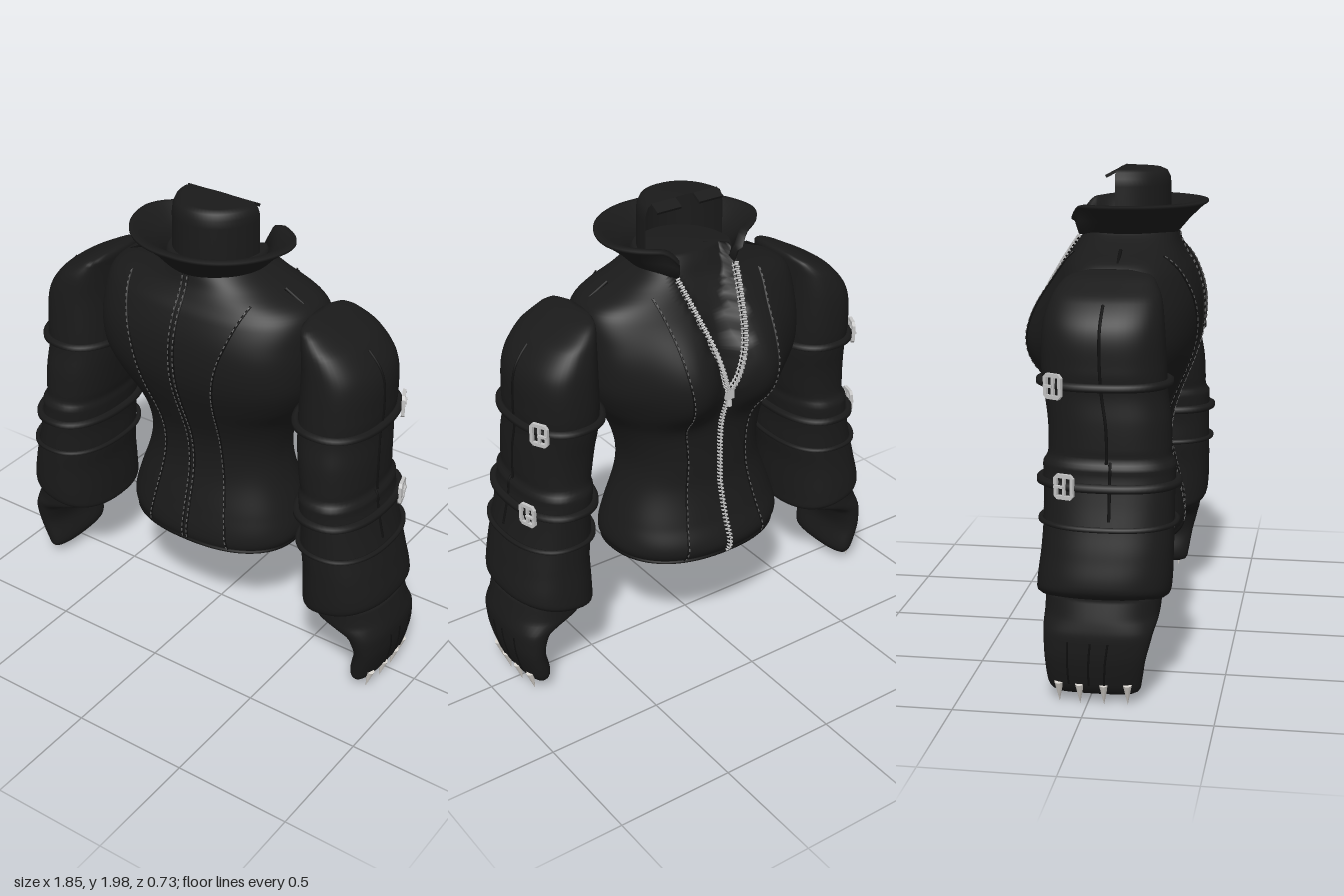
import * as THREE from 'three';
import { mergeGeometries } from 'three/addons/utils/BufferGeometryUtils.js';

const V = (x, y, z) => new THREE.Vector3(x, y, z);
const mat = (name, color, side = THREE.FrontSide) => {
  const m = new THREE.MeshStandardMaterial({ color, side });
  m.name = name;
  return m;
};

// Smooth lookup through rows of [y, a, b, ...]
function track(rows) {
  return (y) => {
    let i = 0;
    while (i < rows.length - 2 && y > rows[i + 1][0]) i++;
    const p = rows[i], q = rows[i + 1], o = rows[i - 1] || p, r = rows[i + 2] || q;
    const h = q[0] - p[0], t = THREE.MathUtils.clamp((y - p[0]) / h, 0, 1);
    return p.slice(1).map((_, k) => {
      k += 1;
      const m0 = ((q[k] - o[k]) / (q[0] - o[0])) * h, m1 = ((r[k] - p[k]) / (r[0] - p[0])) * h;
      const t2 = t * t, t3 = t2 * t;
      return (2 * t3 - 3 * t2 + 1) * p[k] + (t3 - 2 * t2 + t) * m0 + (3 * t2 - 2 * t3) * q[k] + (t3 - t2) * m1;
    });
  };
}

// Skin over closed rings, listed bottom to top, with fan caps
function loft(rings) {
  const n = rings[0].length, pos = [], idx = [];
  rings.forEach((r) => r.forEach((p) => pos.push(p.x, p.y, p.z)));
  for (let j = 0; j < rings.length - 1; j++)
    for (let i = 0; i < n; i++) {
      const a = j * n + i, b = j * n + ((i + 1) % n);
      idx.push(a, a + n, b, b, a + n, b + n);
    }
  [0, rings.length - 1].forEach((j) => {
    const c = rings[j].reduce((s, p) => s.add(p), V(0, 0, 0)).divideScalar(n), k = pos.length / 3;
    pos.push(c.x, c.y, c.z);
    for (let i = 0; i < n; i++) {
      const a = j * n + i, b = j * n + ((i + 1) % n);
      j ? idx.push(a, k, b) : idx.push(a, b, k);
    }
  });
  const g = new THREE.BufferGeometry();
  g.setAttribute('position', new THREE.Float32BufferAttribute(pos, 3));
  g.setIndex(idx);
  g.computeVertexNormals();
  return g;
}
const range = (n, f) => Array.from({ length: n }, (_, i) => f(i));
const spow = (v, e) => Math.sign(v) * Math.abs(v) ** e;
const tube = (pts, r, closed = false) =>
  new THREE.TubeGeometry(new THREE.CatmullRomCurve3(pts, closed), pts.length * 2, r, 6, closed);

// Small blocks laid along a path: stitches or zip teeth
function blocks(pts, count, w, l, d, zigzag = 0) {
  const curve = new THREE.CatmullRomCurve3(pts), o = new THREE.Object3D();
  o.up.set(0, 0, 1);
  return mergeGeometries(range(count, (i) => {
    const t = (i + 0.5) / count, p = curve.getPointAt(t);
    o.position.copy(p);
    o.lookAt(p.clone().add(curve.getTangentAt(t)));
    o.translateX((i % 2 ? 1 : -1) * zigzag);
    o.updateMatrix();
    return new THREE.BoxGeometry(w, d, l).applyMatrix4(o.matrix);
  }));
}

// Torso profile: y, half width, chest depth (-z), back depth (+z)
const torso = track([
  [0.43, 0.03, 0.03, 0.03], [0.445, 0.2, 0.17, 0.15], [0.47, 0.33, 0.27, 0.235], [0.5, 0.385, 0.31, 0.265],
  [0.55, 0.403, 0.325, 0.27], [0.65, 0.38, 0.29, 0.25], [0.8, 0.33, 0.25, 0.215], [0.9, 0.315, 0.245, 0.21],
  [1, 0.33, 0.245, 0.225], [1.1, 0.37, 0.25, 0.26], [1.2, 0.44, 0.265, 0.3], [1.3, 0.482, 0.285, 0.332],
  [1.4, 0.493, 0.28, 0.345], [1.5, 0.493, 0.26, 0.338], [1.6, 0.485, 0.22, 0.305], [1.65, 0.445, 0.195, 0.275],
  [1.7, 0.32, 0.17, 0.25], [1.75, 0.22, 0.15, 0.235], [1.79, 0.19, 0.13, 0.215]]);
const square = (y) => 2.3 + 0.6 * Math.exp(-(((y - 1.4) / 0.22) ** 2));
const vHalf = (y) => 0.145 * Math.max(0, (y - 1.25) / 0.49) ** 0.8;
function torsoZ(x, y, side, open = true) {
  const [w, f, b] = torso(y), n = square(y);
  const k = Math.max(0, 1 - Math.abs(x / w) ** n) ** (1 / n);
  if (side > 0) return b * k;
  const rise = y > 1.28 ? ((y - 1.28) / 0.25) ** 2.5 : ((1.28 - y) / 0.143) ** 3;
  const bust = 0.09 * Math.exp(-(((Math.abs(x) - 0.17) / 0.14) ** 2) - rise);
  const v = vHalf(y), dip = open && v > 0 ? 0.06 * (1 - THREE.MathUtils.smoothstep(Math.abs(x), v - 0.02, v)) * Math.min(1, v / 0.05) : 0;
  return -(f + bust) * k + dip;
}
const onTorso = (rows, side, s = 1, lift = 0.002) => {
  const at = track(rows), y0 = rows[0][0], y1 = rows[rows.length - 1][0];
  return range(30, (i) => {
    const y = y0 + ((y1 - y0) * i) / 29, x = at(y)[0];
    return V(x * s, y, torsoZ(x, y, side, false) + side * lift);
  });
};
const torsoRing = (y, n, grow = 0) => range(n, (i) => {
  const a = (i / n) * Math.PI * 2, x = torso(y)[0] * spow(Math.cos(a), 2 / square(y));
  return V(x + grow * Math.cos(a), y, torsoZ(x, y, Math.sin(a) < 0 ? -1 : 1) + grow * Math.sin(a));
});

// Sleeve and hand profiles: y, inner x, outer x, front z, back z
const sleeve = track([
  [0.4, 0.57, 0.86, -0.17, 0.25], [0.42, 0.535, 0.9, -0.21, 0.29], [0.46, 0.53, 0.908, -0.215, 0.305],
  [0.6, 0.53, 0.886, -0.2, 0.31], [0.7, 0.52, 0.86, -0.195, 0.31], [0.8, 0.52, 0.835, -0.195, 0.31],
  [0.9, 0.51, 0.815, -0.2, 0.312], [0.935, 0.508, 0.814, -0.198, 0.312], [0.955, 0.512, 0.8, -0.185, 0.297],
  [1, 0.502, 0.8, -0.18, 0.295], [1.1, 0.487, 0.797, -0.185, 0.29],
  [1.2, 0.474, 0.79, -0.2, 0.275], [1.3, 0.472, 0.795, -0.21, 0.27], [1.45, 0.475, 0.78, -0.205, 0.26],
  [1.55, 0.475, 0.705, -0.18, 0.245], [1.6, 0.475, 0.62, -0.15, 0.22], [1.63, 0.475, 0.56, -0.11, 0.19], [1.642, 0.48, 0.52, -0.05, 0.12]]);
const hand = track([
  [0.052, 0.8, 0.85, -0.12, 0.17], [0.065, 0.775, 0.868, -0.145, 0.195], [0.1, 0.764, 0.888, -0.16, 0.205],
  [0.2, 0.782, 0.915, -0.168, 0.222], [0.27, 0.765, 0.922, -0.172, 0.24], [0.31, 0.735, 0.922, -0.175, 0.25],
  [0.34, 0.66, 0.917, -0.178, 0.26], [0.37, 0.58, 0.91, -0.18, 0.265], [0.44, 0.57, 0.89, -0.18, 0.27]]);
function limb(prof, a, y, grow = 0) {
  const [x0, x1, z0, z1] = prof(y), c = Math.cos(a), s = Math.sin(a);
  const x = (x0 + x1) / 2 + ((x1 - x0) / 2) * spow(c, 0.85) + grow * c;
  const tilt = prof === sleeve ? 0.22 * (1 - THREE.MathUtils.smoothstep(y, 0.42, 0.62)) : 0;
  return V(x, y + tilt * (x - 0.72), (z0 + z1) / 2 + ((z1 - z0) / 2) * spow(s, 0.85) + grow * s);
}
const limbRing = (prof, y, n, grow) => range(n, (i) => limb(prof, (i / n) * Math.PI * 2, y, grow));
const limbLoft = (prof, y0, y1, m) => loft(range(m + 1, (j) => limbRing(prof, y0 + ((y1 - y0) * j) / m, 48)));

// Buckle: rounded frame, bar and prong, facing out of the sleeve
function buckle(a, y) {
  const s = new THREE.Shape([[-0.041, -0.035], [-0.028, -0.049], [0.028, -0.049], [0.041, -0.035], [0.041, 0.035], [0.028, 0.049], [-0.028, 0.049], [-0.041, 0.035]].map((p) => new THREE.Vector2(...p)));
  s.holes.push(new THREE.Path([[-0.027, -0.034], [-0.027, 0.034], [0.027, 0.034], [0.027, -0.034]].map((p) => new THREE.Vector2(...p))));
  const frame = new THREE.ExtrudeGeometry(s, { depth: 0.014, bevelEnabled: false });
  const bar = new THREE.BoxGeometry(0.011, 0.08, 0.012).translate(0, 0, 0.006).toNonIndexed();
  const prong = new THREE.BoxGeometry(0.04, 0.01, 0.012).translate(0.018, 0, 0.014).toNonIndexed();
  const p = limb(sleeve, a, y, 0.021), d = limb(sleeve, a + 0.05, y).sub(limb(sleeve, a - 0.05, y));
  const o = new THREE.Object3D();
  o.position.copy(p);
  o.lookAt(p.clone().add(V(d.z, 0, -d.x)));
  o.updateMatrix();
  return mergeGeometries([frame, bar, prong]).applyMatrix4(o.matrix);
}
function mirrored(g) {
  const m = g.clone().scale(-1, 1, 1);
  if (m.index) m.setIndex(Array.from(m.index.array).reverse());
  else {
    const q = m.attributes;
    for (const k in q) for (let i = 0; i < q[k].count; i += 3) {
      const n = q[k].itemSize, A = q[k].array, t = A.slice(i * n, i * n + n);
      A.copyWithin(i * n, (i + 2) * n, (i + 3) * n);
      A.set(t, (i + 2) * n);
    }
  }
  return m;
}

export function createModel() {
  const root = new THREE.Group();
  const cloth = mat('black cloth', 0x1a1a1a), shell = mat('black shell', 0x1a1a1a, THREE.DoubleSide);
  const trim = mat('dark trim', 0x101010), thread = mat('grey thread', 0x606060);
  const steel = mat('steel', 0xc4c4c4), claw = mat('claw', 0xd6d2cc);
  const add = (name, g, m, parent = root) => {
    const mesh = new THREE.Mesh(g, m);
    mesh.name = name;
    parent.add(mesh);
  };

  // Jacket body and hem
  add('torso', loft(range(111, (j) => torsoRing(0.43 + (1.36 * j) / 110, 120))), cloth);
  add('hem', tube(torsoRing(0.495, 48, 0.002), 0.009, true), trim);

  // Stitched seams
  const seam = (name, pts) => {
    add(name, tube(pts, 0.005), trim);
    add(name + 'Stitches', blocks(pts, 50, 0.004, 0.013, 0.014), thread);
  };
  const side = [[0.5, 0.2], [0.85, 0.15], [1, 0.145], [1.2, 0.165], [1.4, 0.2], [1.55, 0.245], [1.67, 0.285]];
  const chest = [[0.5, 0.2], [0.85, 0.15], [1, 0.15], [1.2, 0.19], [1.35, 0.215], [1.55, 0.235], [1.68, 0.26]];
  for (const s of [1, -1]) {
    seam('backSideSeam', onTorso(side, 1, s));
    seam('chestSeam', onTorso(chest, -1, s));
    seam('backCentreSeam', onTorso([[0.5, 0.011], [1.74, 0.011]], 1, s));
    add('shoulderSeam', tube(range(8, (i) => V(s * (0.34 + 0.012 * i), 1.698 - 0.0065 * i, 0.05)), 0.007), trim);
    const edge = onTorso(range(9, (i) => { const y = 1.25 + 0.06 * i; return [y, vHalf(y)]; }), -1, s, 0.003);
    add('lapelEdge', tube(edge, 0.008), trim);
    add('openZip', blocks(edge, 60, 0.016, 0.007, 0.024, 0.002), steel);
  }
  // Closed zip and its pull
  const zip = onTorso([[0.5, 0], [1.25, 0]], -1);
  add('zipTape', tube(zip, 0.008), trim);
  add('zipTeeth', blocks(zip, 90, 0.014, 0.006, 0.02, 0.004), steel);
  const zp = zip[29];
  add('zipSlider', new THREE.BoxGeometry(0.035, 0.045, 0.025).translate(0, zp.y, zp.z - 0.008), steel);
  add('zipPull', new THREE.CylinderGeometry(0.007, 0.012, 0.05, 10).translate(0, zp.y - 0.03, zp.z - 0.012), steel);

  // Flared collar, open over the chest, with rounded ends
  add('collar', loft(range(65, (i) => {
    const a = -2.5 + (5 * i) / 64, e = THREE.MathUtils.smoothstep(Math.abs(a), 1.5, 2.42);
    const end = Math.max(0, (Math.abs(a) - 2.2) / 0.3) ** 2;
    const rim = 0.333 + 0.02 * Math.sin(Math.abs(a)) - 0.09 * e, top = 1.866 - 0.01 * e - 0.05 * end;
    const base = 0.212 + 0.01 * e, mid = base + (rim - base) * 0.42, fold = 1.795 - 0.02 * end;
    return [[base, 1.735], [mid, fold], [rim - 0.015, top - 0.018], [rim, top - 0.01], [rim, top], [rim - 0.03, top + 0.003],
      [mid - 0.02, fold + 0.02], [base - 0.025, 1.76]].map(([r, y]) => V(r * Math.sin(a), y, 0.025 + r * Math.cos(a))).reverse();
  })), shell);

  // Half neck shell, its crown and two drooping tabs
  const profile = [[0.19, 1.7], [0.187, 1.8], [0.186, 1.93], [0.183, 1.96], [0.172, 1.985], [0.15, 1.996], [0.0, 2]];
  add('neck', new THREE.LatheGeometry(profile.map((p) => new THREE.Vector2(...p)), 32, -Math.PI / 2, Math.PI).scale(1, 1, 1.1).translate(0, 0, 0.003), shell);
  for (const s of [1, -1])
    add('neckTab', new THREE.BoxGeometry(0.115, 0.012, 0.05).rotateX(-0.5).translate(s * 0.1, 1.981, -0.016), cloth);

  // Arms
  const arm = [], put = (...p) => arm.push(p);
  put('sleeve', limbLoft(sleeve, 0.4, 1.642, 100), cloth);
  put('hand', limbLoft(hand, 0.052, 0.44, 36), cloth);
  [['upperStrap', 1.24, 0.017], ['elbowStrap', 0.862, 0.018], ['wristStrap', 0.712, 0.011]].forEach(([name, y, r]) =>
    put(name, tube(limbRing(sleeve, y, 36, 0.01), r, true), cloth));
  put('upperBuckle', buckle(-0.66, 1.24), steel);
  put('lowerBuckle', buckle(-0.5, 0.865), steel);
  put('sleeveSeam', tube(range(20, (i) => limb(sleeve, 0.02, 0.95 + 0.031 * i)), 0.006), trim);
  put('forearmSeam', tube(range(8, (i) => limb(sleeve, 0.06, 0.74 + 0.031 * i)), 0.006), trim);
  [0.08, 0.015, -0.07].forEach((z) =>
    put('fingerGroove', tube(range(8, (i) => limb(hand, Math.asin(spow((z - 0.03) / 0.2, 1 / 0.85)), 0.1 + 0.026 * i)), 0.004), trim));
  [0.155, 0.065, -0.028, -0.11].forEach((z) =>
    put('claw', new THREE.ConeGeometry(0.018, 0.09, 10).rotateX(Math.PI).rotateZ(-0.2).translate(Math.abs(z - 0.025) > 0.11 ? 0.862 : 0.874, 0.06, z), claw));
  for (const s of [1, -1]) {
    const g = new THREE.Group();
    g.name = s > 0 ? 'leftArm' : 'rightArm';
    arm.forEach(([name, geo, m]) => add(name, s > 0 ? geo : mirrored(geo), m, g));
    root.add(g);
  }
  return root;
}
